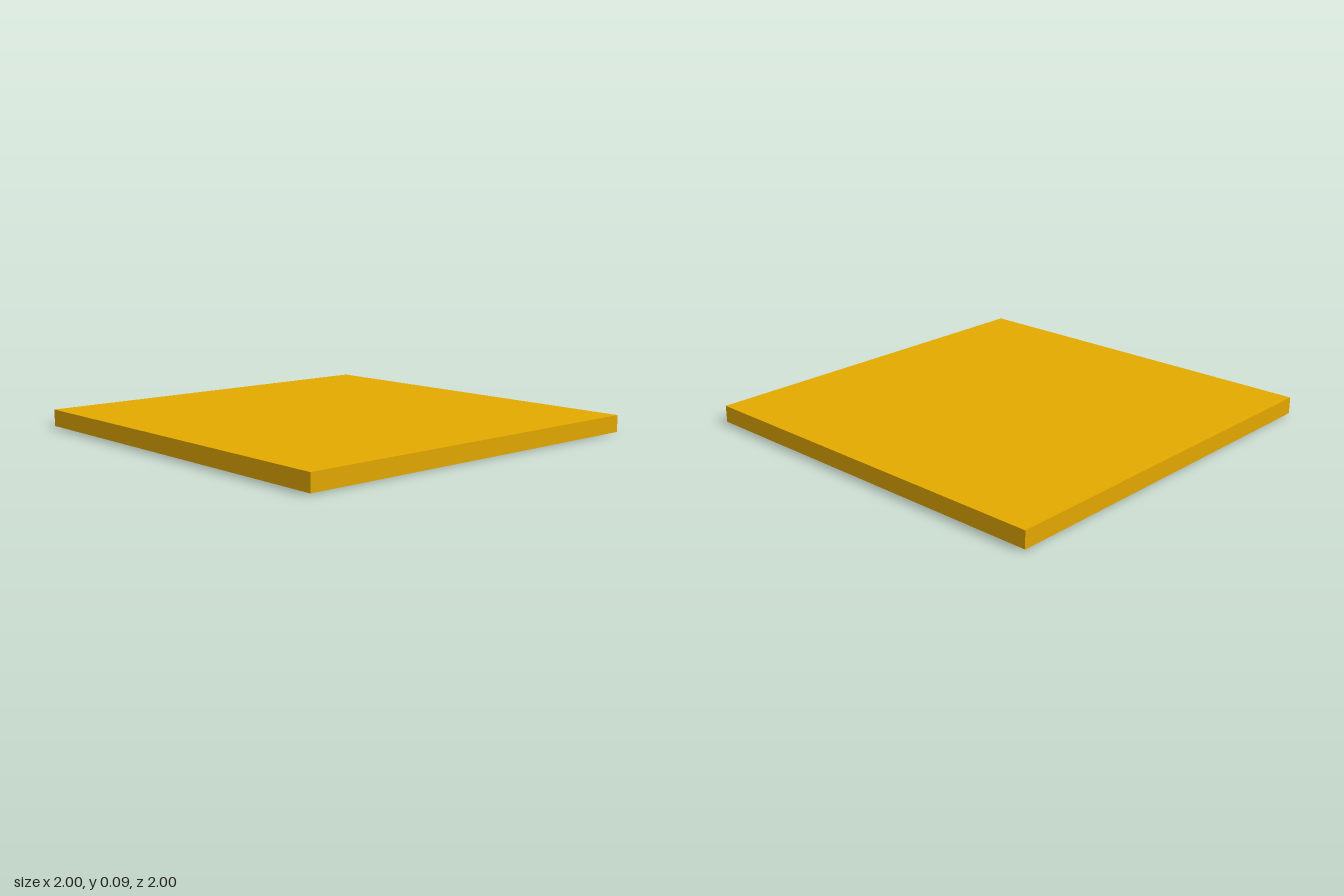
import * as THREE from 'three';

const TOP = 0.09, FLOOR = 0.062, RIM = 0.005, PAD = 0.034;

const gold = new THREE.MeshStandardMaterial({ name: 'gold', color: 0xe6aa00 });
const orange = new THREE.MeshStandardMaterial({ name: 'burnt orange', color: 0xe47000 });
const grey = new THREE.MeshStandardMaterial({ name: 'light grey', color: 0xe4e4e4 });

// Square outline of the given half width
function square(path, h) {
  path.moveTo(-h, -h).lineTo(h, -h).lineTo(h, h).lineTo(-h, h).closePath();
  return path;
}

// Upright square ring between two half widths and two heights
function ring(name, outer, inner, y0, y1, material) {
  const shape = square(new THREE.Shape(), outer);
  shape.holes.push(square(new THREE.Path(), inner));
  const geo = new THREE.ExtrudeGeometry(shape, { depth: y1 - y0, bevelEnabled: false });
  geo.rotateX(-Math.PI / 2).translate(0, y0, 0);
  const mesh = new THREE.Mesh(geo, material);
  mesh.name = name;
  return mesh;
}

// Square slab of the given half width
function slab(name, half, y0, y1, material) {
  const mesh = new THREE.Mesh(new THREE.BoxGeometry(2 * half, y1 - y0, 2 * half), material);
  mesh.position.y = (y0 + y1) / 2;
  mesh.name = name;
  return mesh;
}

// Four-sided pyramid with a rectangular base, pointing down to y = 0
function studGeometry(length, width) {
  const geo = new THREE.ConeGeometry(Math.SQRT1_2, FLOOR, 4, 1, true).toNonIndexed();
  geo.rotateY(Math.PI / 4).rotateX(Math.PI).scale(length, 1, width);
  geo.translate(0, FLOOR / 2, 0);
  geo.computeVertexNormals();
  return geo;
}

export function createModel() {
  const model = new THREE.Group();
  model.name = 'floorTile';

  // Shell: top plate, outer rim and inner frame
  model.add(slab('topPlate', 1, FLOOR + 0.006, TOP, gold));
  model.add(ring('outerRim', 1, 0.972, RIM, FLOOR + 0.006, gold));
  model.add(ring('innerFrame', 0.825, 0.795, RIM, FLOOR, gold));

  // Underside: groove floor, frame lining and recessed pad
  model.add(slab('grooveFloor', 0.972, FLOOR, FLOOR + 0.006, orange));
  model.add(ring('frameLining', 0.795, 0.79, RIM, FLOOR, orange));
  model.add(slab('centrePad', 0.79, PAD, FLOOR, grey));

  // Six pyramid studs in the groove along each side
  const stud = studGeometry(0.24, 0.12);
  for (let side = 0; side < 4; side++) {
    const row = new THREE.Group();
    row.name = 'studRow';
    row.rotation.y = side * Math.PI / 2;
    for (let i = 0; i < 6; i++) {
      const mesh = new THREE.Mesh(stud, orange);
      mesh.name = 'stud';
      mesh.position.set(-0.75 + 0.3 * i, 0, 0.8985);
      row.add(mesh);
    }
    model.add(row);
  }
  return model;
}
